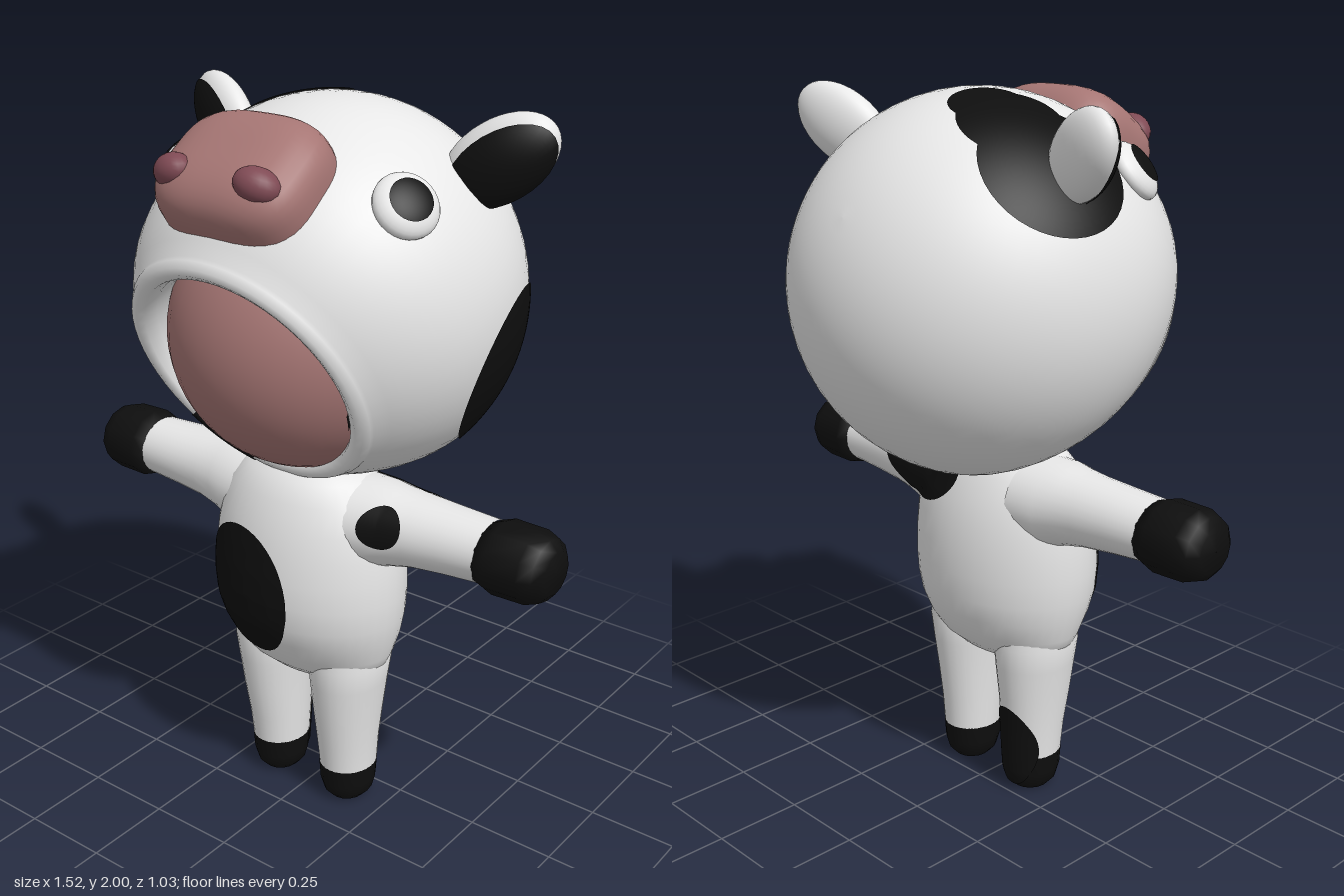
import * as THREE from 'three';
import { mergeVertices } from 'three/addons/utils/BufferGeometryUtils.js';

const material = (name, color, side = THREE.FrontSide) => {
  const m = new THREE.MeshStandardMaterial({ color, side });
  m.name = name;
  return m;
};

const HEAD_R = 0.513, HEAD_Y = 1.487;

// Smooth tube through elliptical rings [u, centre, centreZ, radius, radiusZ] along x or y.
function loft(axis, rings, seg = 28) {
  const pos = [], index = [];
  rings.forEach(([u, c, cz, r, rz], i) => {
    for (let j = 0; j < seg; j++) {
      const a = (j / seg) * Math.PI * 2;
      const v = c + r * Math.cos(a), z = cz + rz * Math.sin(a);
      if (axis === 'x') pos.push(u, v, z); else pos.push(v, u, z);
      if (i === rings.length - 1) continue;
      const p = i * seg + j, q = i * seg + (j + 1) % seg;
      const flip = (axis === 'x') === (rings[1][0] > rings[0][0]);
      if (flip) index.push(p, q, p + seg, q, q + seg, p + seg);
      else index.push(p, p + seg, q, q, p + seg, q + seg);
    }
  });
  const g = new THREE.BufferGeometry();
  g.setAttribute('position', new THREE.Float32BufferAttribute(pos, 3));
  g.setIndex(index);
  g.computeVertexNormals();
  return g;
}

// Depth of a loft's surface at x, y on the front (1) or back (-1).
function depthAt(axis, rings, x, y, side) {
  const u = axis === 'x' ? x : y, v = axis === 'x' ? y : x;
  const i = rings.findIndex((r, k) => k > 0 && u >= rings[k - 1][0] && u <= r[0]);
  if (i < 1) return -Infinity;
  const A = rings[i - 1], B = rings[i], t = (u - A[0]) / (B[0] - A[0]);
  const [c, cz, r, rz] = [1, 2, 3, 4].map(k => A[k] + (B[k] - A[k]) * t);
  return side * cz + rz * Math.sqrt(Math.max(0, 1 - ((v - c) / r) ** 2));
}

export function createModel() {
  const model = new THREE.Group();
  model.name = 'cowFigure';
  const white = material('white', 0xe8e8e8);
  const black = material('black', 0x0e0e0e, THREE.DoubleSide);
  const pink = material('pink', 0xa67674);
  const rose = material('darkPink', 0x7f4a54);

  const add = (name, geometry, mat, position = [0, 0, 0]) => {
    const mesh = new THREE.Mesh(geometry, mat);
    mesh.name = name;
    mesh.position.set(...position);
    model.add(mesh);
    return mesh;
  };
  const up = new THREE.Vector3(0, 1, 0);

  // Head shell: turned around the tilted axis of the face opening
  const smooth = x => THREE.MathUtils.smoothstep(x, 0.05, 0.39);
  const lip = [[0.362, 0.372], [0.35, 0.39], [0.332, 0.395], [0.312, 0.385], [0.3, 0.35], [0.297, 0.22]];
  const headLathe = (points, seg, start = 0, length = Math.PI * 2) => {
    const g = new THREE.LatheGeometry(points.map(p => new THREE.Vector2(...p)), seg, start, length);
    const p = g.attributes.position;
    for (let i = 0; i < p.count; i++) p.setZ(i, p.getZ(i) - 0.035 * smooth(p.getY(i)));
    g.rotateX(2.034);
    return g;
  };
  const profile = [];
  for (let i = 0; i <= 28; i++) {
    const a = (i / 28) * 2.35;
    profile.push([HEAD_R * Math.sin(a), -HEAD_R * Math.cos(a)]);
  }
  add('head', headLathe([...profile, ...lip], 56), white, [0, HEAD_Y, 0]);
  add('face', new THREE.SphereGeometry(0.365, 40, 28), pink, [0, 1.41, 0.11]);

  // Dark marks on the rim of the opening
  const raised = lip.map(([r, d]) => [r - 0.003, d + 0.004]);
  add('chinPatch', headLathe(raised, 10, -0.9, 0.62), black, [0, HEAD_Y, 0]);
  add('rimPatch', headLathe(raised.slice(3), 4, 1.26, 0.18), black, [0, HEAD_Y, 0]);

  // Round head patches: thin caps over the sphere
  const caps = [
    ['sidePatch', 0.47, -0.165, -0.152, 0.44],
    ['crownPatch', -0.36, 0.36, -0.09, 0.38],
    ['crownPatchMiddle', -0.22, 0.46, -0.1, 0.27],
    ['crownPatchTip', -0.13, 0.5, -0.1, 0.19],
  ];
  for (const [name, x, y, z, angle] of caps) {
    const g = new THREE.SphereGeometry(HEAD_R + 0.004, 40, 10, 0, Math.PI * 2, 0, angle);
    add(name, g, black, [0, HEAD_Y, 0])
      .quaternion.setFromUnitVectors(up, new THREE.Vector3(x, y, z).normalize());
  }

  // Snout: rounded block
  let snout = new THREE.SphereGeometry(1, 40, 28);
  const sp = snout.attributes.position, v = new THREE.Vector3();
  for (let i = 0; i < sp.count; i++) {
    v.fromBufferAttribute(sp, i);
    const n = Math.cbrt(Math.abs(v.x) ** 3 + Math.abs(v.y) ** 3 + Math.abs(v.z) ** 3);
    sp.setXYZ(i, v.x / n * 0.218, v.y / n * 0.175, v.z / n * 0.13);
  }
  snout.deleteAttribute('uv');
  snout.deleteAttribute('normal');
  snout = mergeVertices(snout);
  snout.computeVertexNormals();
  add('snout', snout, pink, [0, 1.825, 0.333]).rotation.x = -0.96;

  for (const s of [1, -1]) {
    const side = s > 0 ? 'left' : 'right';

    const nostril = add(side + 'Nostril', new THREE.SphereGeometry(1, 20, 14), rose, [s * 0.13, 1.865, 0.452]);
    nostril.scale.set(0.06, 0.043, 0.045);
    nostril.rotation.set(0, s * 0.35, -s * 0.3);

    // Eye with a thin pupil cap
    const at = new THREE.Vector3(s * 0.36, 0.315, 0.19), out = at.clone().normalize();
    const eyePos = [at.x, HEAD_Y + at.y, at.z];
    const eye = add(side + 'Eye', new THREE.SphereGeometry(1, 28, 18), white, eyePos);
    eye.scale.set(0.085, 0.04, 0.085);
    const pupil = add(side + 'Pupil', new THREE.SphereGeometry(1, 28, 8, 0, Math.PI * 2, 0, 0.66), black, eyePos);
    pupil.scale.set(0.09, 0.044, 0.09);
    eye.quaternion.setFromUnitVectors(up, out);
    pupil.quaternion.copy(eye.quaternion);

    // Ear: flattened leaf with a dark front
    const L = new THREE.Vector3(0.78, s * 0.54, s * -0.31).normalize();
    const N = new THREE.Vector3(s * 0.3, 0.03, 0.95);
    N.addScaledVector(L, -N.dot(L)).normalize();
    const W = new THREE.Vector3().crossVectors(N, L);
    const basis = new THREE.Matrix4().makeBasis(L, W, N);
    const inner = new THREE.SphereGeometry(1, 28, 12, 0, Math.PI * 2, 0, 1.12);
    inner.rotateX(Math.PI / 2 + 0.35);
    const earPos = [s * 0.44, 1.87, -0.09];
    for (const [name, g, mat, k] of [['Ear', new THREE.SphereGeometry(1, 28, 20), white, 1],
      ['EarInside', inner, black, 1.03]]) {
      const ear = add(side + name, g, mat, earPos);
      ear.quaternion.setFromRotationMatrix(basis);
      ear.scale.set(0.16 * k, 0.1 * k, 0.058 * k + (k > 1 ? 0.003 : 0));
    }
  }

  // Body, limbs
  const torso = [
    [0.405, 0, 0.095, 0.001, 0.001], [0.42, 0, 0.095, 0.17, 0.1], [0.45, 0, 0.095, 0.236, 0.132],
    [0.5, 0, 0.095, 0.257, 0.168], [0.56, 0, 0.098, 0.275, 0.2], [0.62, 0, 0.102, 0.287, 0.217],
    [0.69, 0, 0.103, 0.292, 0.222], [0.76, 0, 0.102, 0.29, 0.219], [0.83, 0, 0.1, 0.284, 0.209],
    [0.9, 0, 0.1, 0.27, 0.193], [0.97, 0, 0.1, 0.243, 0.165], [1.02, 0, 0.1, 0.19, 0.135],
    [1.05, 0, 0.1, 0.11, 0.09], [1.06, 0, 0.1, 0.001, 0.001]];
  const arm = [
    [0.15, 0.905, 0.085, 0.12, 0.14], [0.24, 0.905, 0.085, 0.12, 0.13], [0.29, 0.91, 0.083, 0.108, 0.118],
    [0.36, 0.915, 0.08, 0.098, 0.107], [0.46, 0.918, 0.08, 0.09, 0.1], [0.57, 0.92, 0.08, 0.083, 0.095]];
  const hand = [
    [0.567, 0.918, 0.08, 0.001, 0.001], [0.568, 0.918, 0.08, 0.085, 0.097], [0.605, 0.918, 0.08, 0.099, 0.108],
    [0.7, 0.918, 0.08, 0.097, 0.106], [0.735, 0.918, 0.08, 0.084, 0.09], [0.757, 0.918, 0.08, 0.058, 0.06],
    [0.76, 0.918, 0.08, 0.001, 0.001]];
  const leg = [
    [0.115, 0.125, 0.09, 0.08, 0.089], [0.2, 0.125, 0.092, 0.085, 0.098], [0.3, 0.128, 0.095, 0.094, 0.111],
    [0.4, 0.13, 0.095, 0.104, 0.124], [0.47, 0.132, 0.095, 0.113, 0.13], [0.56, 0.13, 0.095, 0.1, 0.12]];
  const foot = [
    [0, 0.125, 0.09, 0.001, 0.001], [0.004, 0.125, 0.09, 0.05, 0.055], [0.025, 0.125, 0.09, 0.069, 0.075],
    [0.06, 0.125, 0.09, 0.078, 0.086], [0.116, 0.125, 0.09, 0.081, 0.09]];

  add('torso', loft('y', torso, 40), white);
  for (const s of [1, -1]) {
    const side = s > 0 ? 'left' : 'right';
    const alongX = rings => rings.map(([u, ...rest]) => [s * u, ...rest]);
    const alongY = rings => rings.map(([u, c, ...rest]) => [u, s * c, ...rest]);
    add(side + 'Arm', loft('x', alongX(arm)), white);
    add(side + 'Hand', loft('x', alongX(hand), 12), black);
    add(side + 'Leg', loft('y', alongY(leg)), white);
    add(side + 'Foot', loft('y', alongY(foot), 16), black);
  }

  // Body patches: thin discs draped over the surface
  const rightLeg = [...foot, ...leg.slice(1)].map(([u, c, ...rest]) => [u, -c, ...rest]);
  const upper = [['y', torso], ['x', arm]];
  const patches = [
    ['bellyPatch', -0.085, 0.685, 0.17, 0.195, 1, upper],
    ['shoulderPatch', 0.297, 0.945, 0.06, 0.053, 1, upper],
    ['backPatch', 0.19, 0.965, 0.18, 0.11, -1, upper],
    ['calfPatch', -0.125, 0.15, 0.074, 0.13, -1, [['y', rightLeg]]],
  ];
  for (const [name, cx, cy, rx, ry, side, surfaces] of patches) {
    const g = new THREE.RingGeometry(0.001, 1, 40, 12);
    const p = g.attributes.position;
    for (let i = 0; i < p.count; i++) {
      const x = cx + rx * p.getX(i), y = Math.min(1.01, cy + ry * p.getY(i));
      const depth = Math.max(...surfaces.map(([axis, rings]) => depthAt(axis, rings, x, y, side)));
      p.setXYZ(i, x, y, side * (depth + 0.005));
    }
    g.computeVertexNormals();
    add(name, g, black);
  }
  return model;
}
